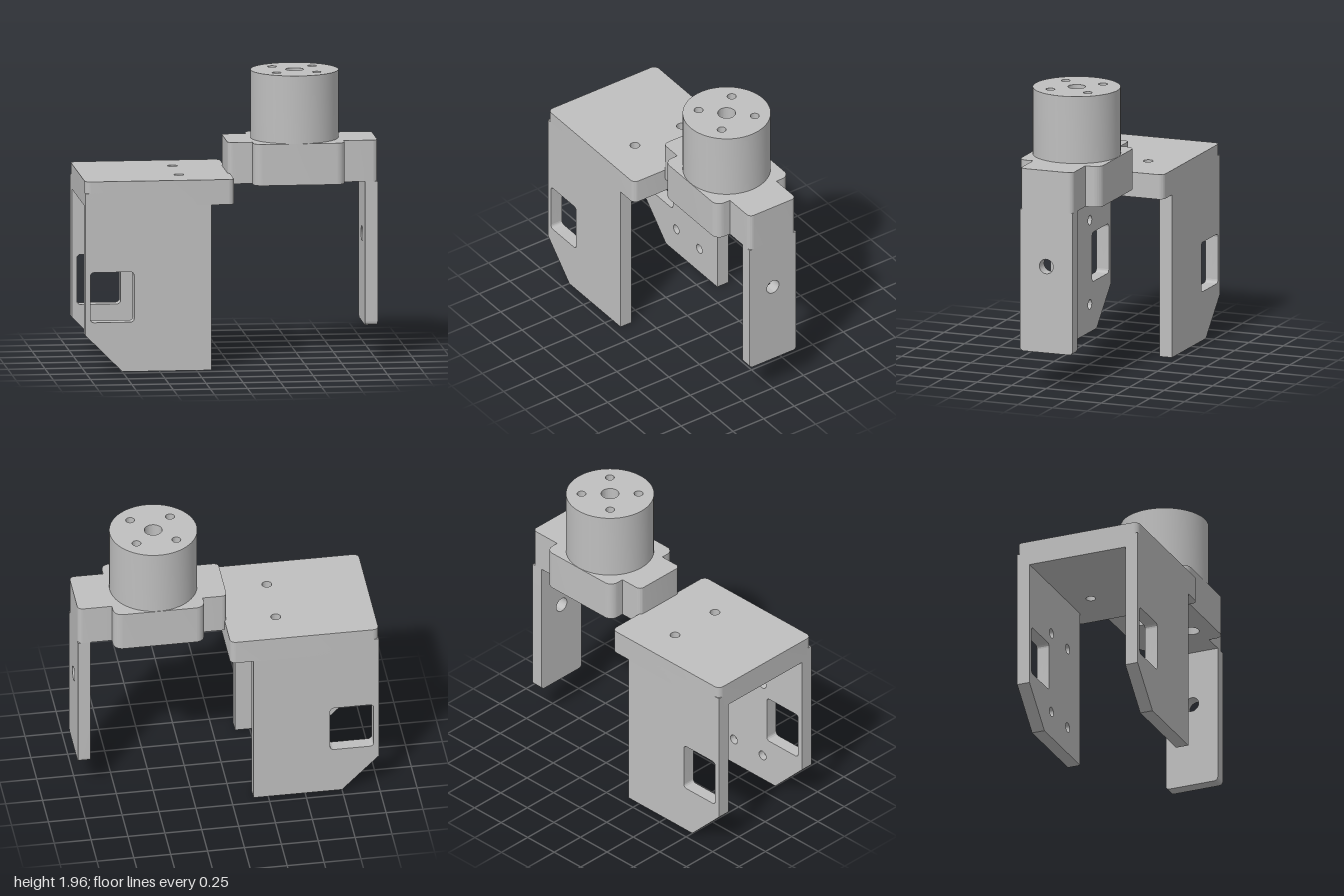
import * as THREE from 'three';
import { toCreasedNormals } from 'three/addons/utils/BufferGeometryUtils.js';

// Outline from [x, y, cornerRadius] points, with circular corner fillets
function outline(points, Type = THREE.Shape) {
  const shape = new Type();
  const n = points.length;
  points.forEach(([x, y, r = 0], i) => {
    const p = new THREE.Vector2(x, y);
    const toward = (q, d) => p.clone().add(new THREE.Vector2(q[0] - x, q[1] - y).setLength(d));
    const prev = points[(i + n - 1) % n], next = points[(i + 1) % n];
    const a = r ? toward(prev, r) : p;
    if (i === 0) shape.moveTo(a.x, a.y); else shape.lineTo(a.x, a.y);
    if (r) {
      const b = toward(next, r), c = toward(prev, r * 0.448), d = toward(next, r * 0.448);
      shape.bezierCurveTo(c.x, c.y, d.x, d.y, b.x, b.y);
    }
  });
  shape.closePath();
  return shape;
}

const rect = (x0, y0, x1, y1, r, Type) =>
  outline([[x0, y0, r], [x1, y0, r], [x1, y1, r], [x0, y1, r]], Type);

function drill(shape, x, y, r) {
  shape.holes.push(new THREE.Path().absarc(x, y, r, 0, Math.PI * 2, true));
}

function extrude(shape, depth) {
  const g = new THREE.ExtrudeGeometry(shape, { depth, bevelEnabled: false, curveSegments: 32 });
  return toCreasedNormals(g, 0.5);
}

export function createModel() {
  const model = new THREE.Group();
  model.name = 'motorBracketAssembly';
  const grey = new THREE.MeshStandardMaterial({ color: 0xbfbfbf });
  grey.name = 'plain grey';

  const add = (name, geometry, parent = model) => {
    const mesh = new THREE.Mesh(geometry, grey);
    mesh.name = name;
    parent.add(mesh);
    return mesh;
  };
  // Plan outline (x, z) raised from y0 to y1
  const slab = (name, shape, y0, y1) =>
    add(name, extrude(shape, y1 - y0).rotateX(-Math.PI / 2).translate(0, y0, 0));

  // Top plate with two screw holes
  const top = rect(-1, -0.44, 0.005, 0.44, 0.04);
  for (const z of [-0.19, 0.19]) drill(top, -0.34, z, 0.033);
  slab('topPlate', top, 1.12, 1.29);

  // Side panels: window through both layers, blind holes on the inner layer
  const panelShape = () => {
    const s = outline([[-0.75, 0], [-0.15, 0], [-0.15, 1.21], [-1, 1.21], [-1, 0.25]]);
    s.holes.push(rect(-0.965, 0.335, -0.67, 0.675, 0.025, THREE.Path));
    return s;
  };
  const innerShape = panelShape();
  for (const x of [-0.63, -0.36]) for (const y of [0.19, 0.77]) drill(innerShape, x, y, 0.033);
  const layer = 0.045;
  const outerGeometry = extrude(panelShape(), layer);
  const innerGeometry = extrude(innerShape, layer);
  for (const side of [1, -1]) {
    const panel = new THREE.Group();
    panel.name = side > 0 ? 'frontPanel' : 'backPanel';
    add('outerLayer', outerGeometry, panel).position.z = side > 0 ? 0.395 : -0.44;
    add('innerLayer', innerGeometry, panel).position.z = side > 0 ? 0.35 : -0.395;
    model.add(panel);
  }

  // Cross-shaped motor mount
  const cx = 0.46;
  const mount = outline([
    [-0.01, -0.19, 0.035], [0.155, -0.19], [0.155, -0.297, 0.06], [0.77, -0.297, 0.06],
    [0.77, -0.19], [1, -0.19, 0.035], [1, 0.19, 0.035], [0.77, 0.19],
    [0.77, 0.297, 0.06], [0.155, 0.297, 0.06], [0.155, 0.19], [-0.01, 0.19, 0.035],
  ]);
  const motor = new THREE.Shape().absarc(cx, 0, 0.295, 0, Math.PI * 2, false);
  drill(mount, cx, 0, 0.06);
  drill(motor, cx, 0, 0.06);
  for (const dx of [-0.135, 0.135]) for (const z of [-0.135, 0.135]) {
    drill(mount, cx + dx, z, 0.055);
    drill(motor, cx + dx, z, 0.03);
  }
  slab('motorMount', mount, 1.22, 1.5);
  slab('motorCylinder', motor, 1.5, 1.96);

  // Hanging leg with a cross hole
  const leg = outline([[-0.19, 0.245, 0.025], [0.19, 0.245, 0.025], [0.19, 1.22], [-0.19, 1.22]]);
  drill(leg, 0, 0.84, 0.05);
  add('leg', extrude(leg, 0.085).rotateY(Math.PI / 2).translate(0.915, 0, 0));

  return model;
}
